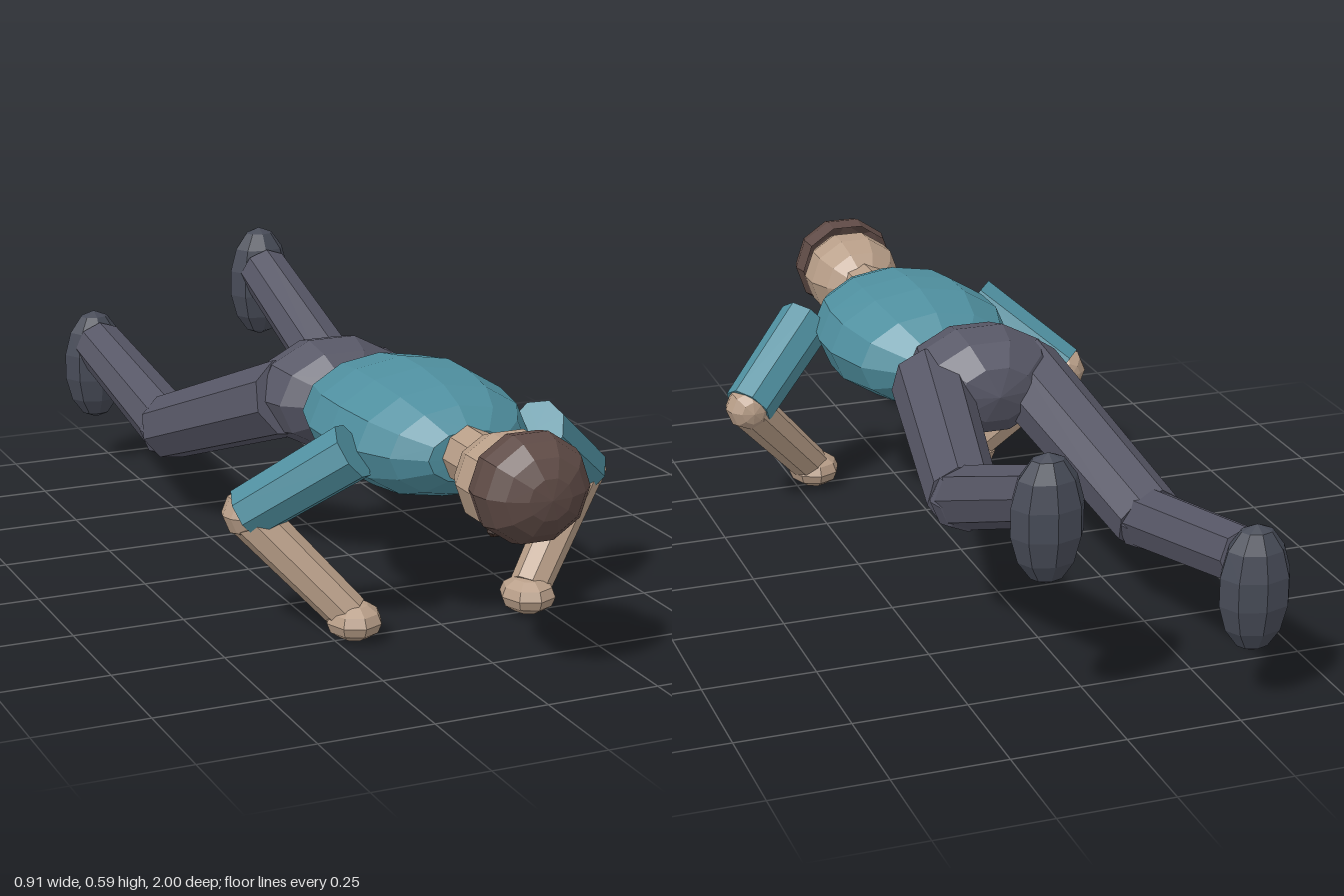
import * as THREE from 'three';

const flat = (name, color) => {
  const m = new THREE.MeshStandardMaterial({ color, flatShading: true });
  m.name = name;
  return m;
};

export function createModel() {
  const group = new THREE.Group();
  const shirt = flat('teal shirt', 0x4f8f9f);
  const trousers = flat('grey trousers', 0x575766);
  const shoes = flat('dark shoes', 0x474b57);
  const skin = flat('skin', 0xb89e88);
  const hair = flat('brown hair', 0x5e4a45);
  hair.side = THREE.DoubleSide;
  const eyes = flat('dark eyes', 0x3a2a24);

  const add = (name, geometry, material) => {
    const mesh = new THREE.Mesh(geometry, material);
    mesh.name = name;
    group.add(mesh);
    return mesh;
  };

  // Faceted ellipsoid whose poles lie along z
  const blob = (name, pos, radii, material, w = 10, h = 7, theta = Math.PI) => {
    const g = new THREE.SphereGeometry(1, w, h, 0, Math.PI * 2, 0, theta);
    g.rotateX(Math.PI / 2);
    g.scale(...radii);
    const mesh = add(name, g, material);
    mesh.position.set(...pos);
    return mesh;
  };

  // Eight-sided limb between two points
  const limb = (name, from, to, r0, r1, material) => {
    const a = new THREE.Vector3(...from), b = new THREE.Vector3(...to);
    const dir = b.clone().sub(a);
    const mesh = add(name, new THREE.CylinderGeometry(r1, r0, dir.length(), 8), material);
    mesh.quaternion.setFromUnitVectors(new THREE.Vector3(0, 1, 0), dir.normalize());
    mesh.position.copy(a).add(b).multiplyScalar(0.5);
    return mesh;
  };

  // Torso: barrel lying along z, wider than deep
  const profile = [[0, 0.07], [0.45, 0.09], [0.84, 0.17], [1, 0.29], [1, 0.39],
    [0.91, 0.5], [0.72, 0.575], [0.42, 0.625], [0, 0.63]].map(([r, z]) => new THREE.Vector2(r, z));
  const torso = new THREE.LatheGeometry(profile, 12);
  torso.rotateX(Math.PI / 2);
  torso.scale(0.22, 0.135, 1);
  add('torso', torso, shirt).position.y = 0.415;

  blob('pelvis', [-0.055, 0.41, 0.03], [0.18, 0.13, 0.14], trousers, 10, 6);

  // Neck and head, face turned down
  limb('neck', [0, 0.418, 0.58], [0, 0.418, 0.75], 0.062, 0.06, skin);
  blob('head', [0, 0.418, 0.83], [0.118, 0.107, 0.135], skin);
  blob('hair', [0, 0.428, 0.9], [0.126, 0.118, 0.1], hair, 10, 5, Math.PI * 0.62);

  for (const [side, s] of [['left', 1], ['right', -1]]) {
    blob(side + 'Eye', [s * 0.044, 0.321, 0.835], [0.016, 0.012, 0.016], eyes, 6, 4);

    // Arm, bent at the elbow with the hand on the ground
    const elbow = [s * 0.4, 0.27, 0.38], wrist = [s * 0.215, 0.055, 0.495];
    limb(side + 'UpperArm', [s * 0.215, 0.422, 0.515], elbow, 0.065, 0.06, shirt);
    blob(side + 'Elbow', elbow, [0.055, 0.055, 0.055], skin, 8, 6);
    limb(side + 'Forearm', elbow, wrist, 0.051, 0.045, skin);
    const hand = new THREE.SphereGeometry(1, 8, 6);
    hand.scale(0.062, 0.042, 0.068);
    add(side + 'Hand', hand, skin).position.set(s * 0.207, 0.043, 0.502);
  }

  // Legs: hip, knee, ankle and foot centres
  const legs = [
    ['left', [0.06, 0.41, 0.04], [0.143, 0.318, -0.42], [0.13, 0.487, -0.845], [0.13, 0.453, -0.878]],
    ['right', [-0.165, 0.41, 0.04], [-0.275, 0.222, -0.45], [-0.295, 0.318, -0.91], [-0.3, 0.263, -0.936]],
  ];
  for (const [side, hip, knee, ankle, foot] of legs) {
    limb(side + 'Thigh', hip, knee, 0.09, 0.079, trousers);
    blob(side + 'Knee', knee, [0.075, 0.075, 0.075], trousers, 8, 6);
    limb(side + 'Shin', knee, ankle, 0.07, 0.063, trousers);
    const shoe = new THREE.SphereGeometry(1, 8, 7);
    shoe.scale(0.08, 0.14, 0.062);
    add(side + 'Foot', shoe, shoes).position.set(...foot);
  }
  return group;
}
